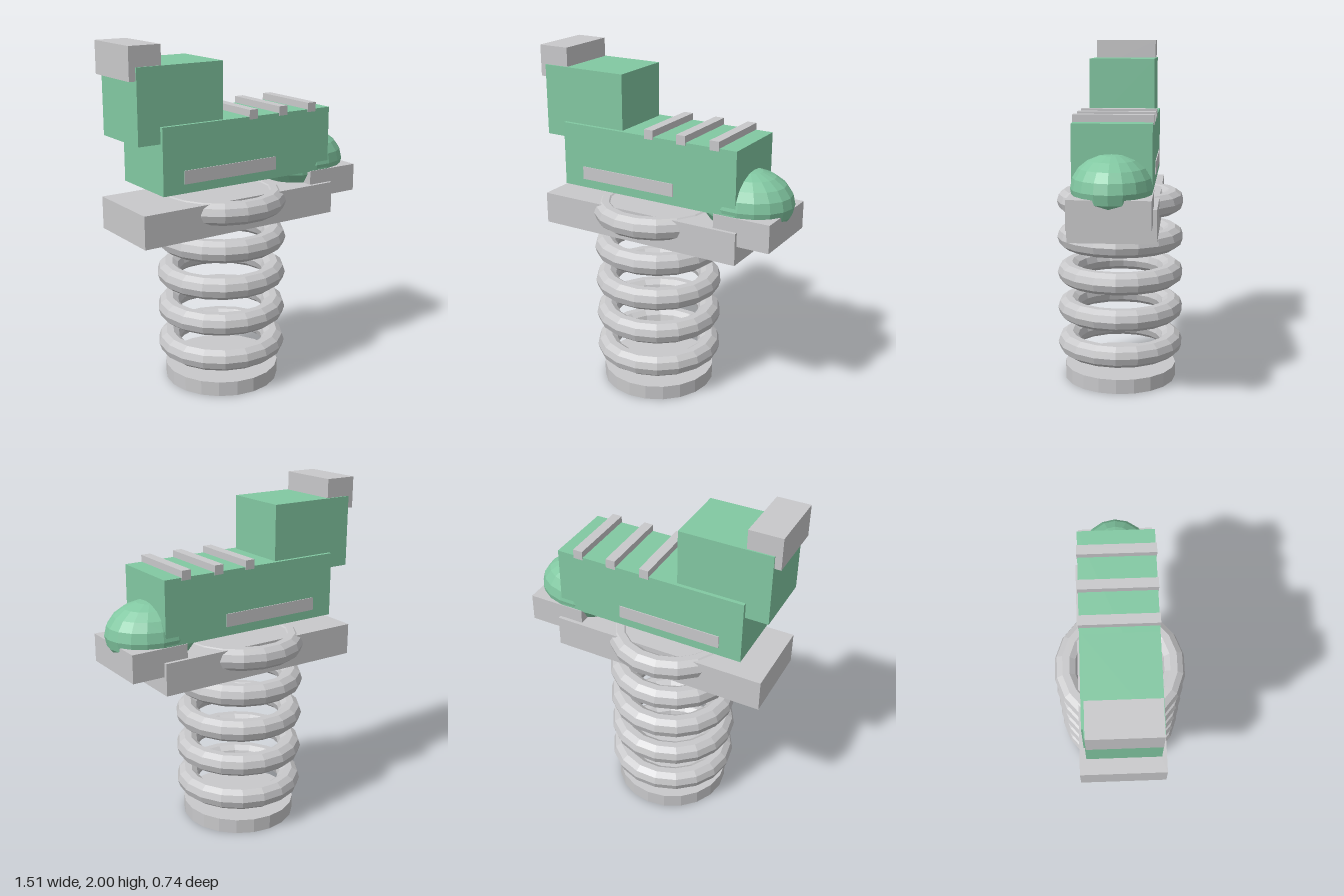
import * as THREE from 'three';

const green = new THREE.MeshStandardMaterial({ color: 0x82c8a2, flatShading: true });
green.name = 'green paint';
const grey = new THREE.MeshStandardMaterial({ color: 0xc8c8ca, flatShading: true });
grey.name = 'grey metal';

export function createModel() {
  const model = new THREE.Group();
  model.name = 'springRider';

  const add = (name, geometry, material, x, y, z = 0) => {
    const mesh = new THREE.Mesh(geometry, material);
    mesh.name = name;
    mesh.position.set(x, y, z);
    model.add(mesh);
    return mesh;
  };
  // Box from its x range, y range and half depth, centred on z
  const box = (name, material, x0, x1, y0, y1, halfZ) =>
    add(name, new THREE.BoxGeometry(x1 - x0, y1 - y0, 2 * halfZ), material, (x0 + x1) / 2, (y0 + y1) / 2);

  // Round foot and the stack of spring rings
  const axisX = -0.09;
  add('foot', new THREE.CylinderGeometry(0.333, 0.333, 0.085, 20), grey, axisX, 0.0425);
  const ring = new THREE.TorusGeometry(0.308, 0.066, 10, 18).rotateX(Math.PI / 2);
  for (let i = 0; i < 5; i++) add('springRing', ring, grey, axisX, 0.22 + i * 0.2148);

  // Platform and front step
  box('platform', grey, -0.72, 0.535, 0.953, 1.136, 0.238);
  box('frontStep', grey, 0.39, 0.723, 1.057, 1.216, 0.217);

  // Body, cabin and rounded nose
  box('body', green, -0.588, 0.52, 1.213, 1.58, 0.212);
  box('cabin', green, -0.718, -0.2, 1.49, 1.893, 0.191);
  box('cabinCap', grey, -0.755, -0.57, 1.823, 2.0, 0.183);
  const nose = add('nose', new THREE.SphereGeometry(1, 18, 10), green, 0.486, 1.245);
  nose.scale.set(0.265, 0.182, 0.219);

  // Ribs across the body top
  for (const x of [-0.015, 0.187, 0.39]) box('rib', grey, x - 0.028, x + 0.028, 1.565, 1.618, 0.216);

  // Side stripes
  for (const side of [-1, 1]) {
    add('sideStripe', new THREE.BoxGeometry(0.598, 0.074, 0.008), grey, -0.161, 1.3, side * 0.213);
  }
  return model;
}
